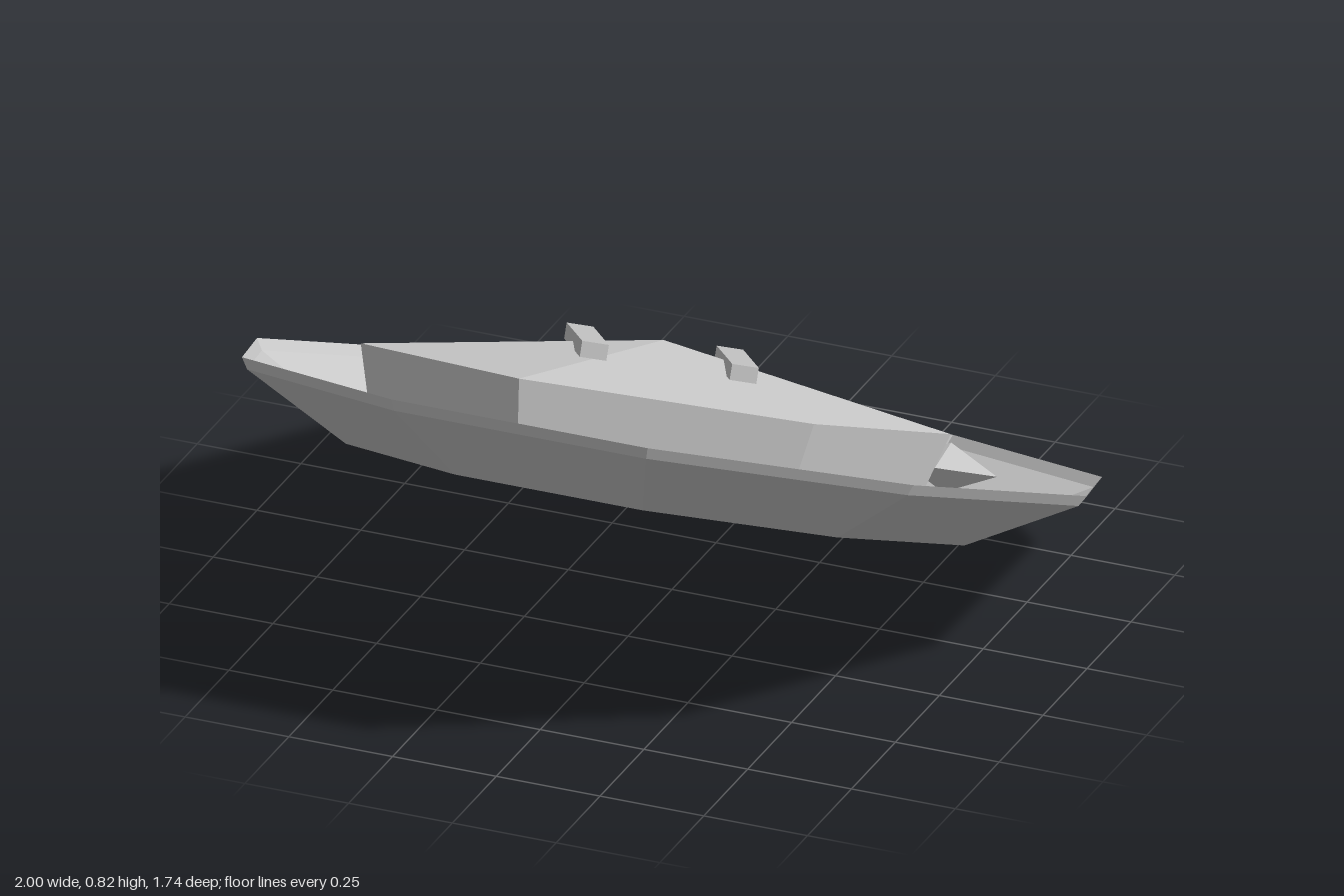
import * as THREE from 'three';

export function createModel() {
  const grey = new THREE.MeshStandardMaterial({
    color: 0xc8c8c8, flatShading: true, side: THREE.DoubleSide,
  });
  grey.name = 'light grey';

  const add = (parent, name, geometry, x = 0, y = 0, z = 0) => {
    const mesh = new THREE.Mesh(geometry, grey);
    mesh.name = name;
    mesh.position.set(x, y, z);
    parent.add(mesh);
    return mesh;
  };
  // faceted solid of revolution with a corner on the x axis
  const faceted = (profile, sides) => new THREE.LatheGeometry(
    profile.map(([r, y]) => new THREE.Vector2(r, y)), sides, Math.PI / 2);

  const model = new THREE.Group();
  model.name = 'tiltedDish';

  // everything sits on a dish tilted up towards the front
  const dish = new THREE.Group();
  dish.name = 'dish';
  dish.position.y = 0.43;
  dish.rotation.x = -THREE.MathUtils.degToRad(24);
  model.add(dish);

  // thin ten-sided bowl with a steeper lip
  add(dish, 'bowl', faceted([[0, -0.159], [0.732, -0.159], [0.984, -0.025], [1, 0]], 10));

  // long hexagonal block with a low pointed roof, turned on the dish
  const block = new THREE.Group();
  block.name = 'block';
  block.position.set(-0.036, 0, 0.034);
  block.rotation.y = THREE.MathUtils.degToRad(25.6);
  dish.add(block);
  const body = faceted([[0, -0.065], [0.945, -0.065], [1, 0.058], [0, 0.168]], 6);
  add(block, 'hexagonBlock', body.scale(0.665, 1, 0.36));

  // two bars across the roof
  for (const side of [-1, 1]) {
    add(block, side < 0 ? 'rightBar' : 'leftBar',
      new THREE.BoxGeometry(0.06, 0.036, 0.452), side * 0.169, 0.138, 0);
  }

  // two small flattened crystals near the back rim
  const crystals = [
    ['leftCrystal', 0.505, -0.422, 0.12, 0.056, 0.077],
    ['rightCrystal', -0.577, -0.34, 0.157, 0.05, 0.085],
  ];
  for (const [name, x, z, sx, sy, sz] of crystals) {
    add(dish, name, new THREE.OctahedronGeometry(1).scale(sx, sy, sz), x, -0.03, z);
  }

  return model;
}
